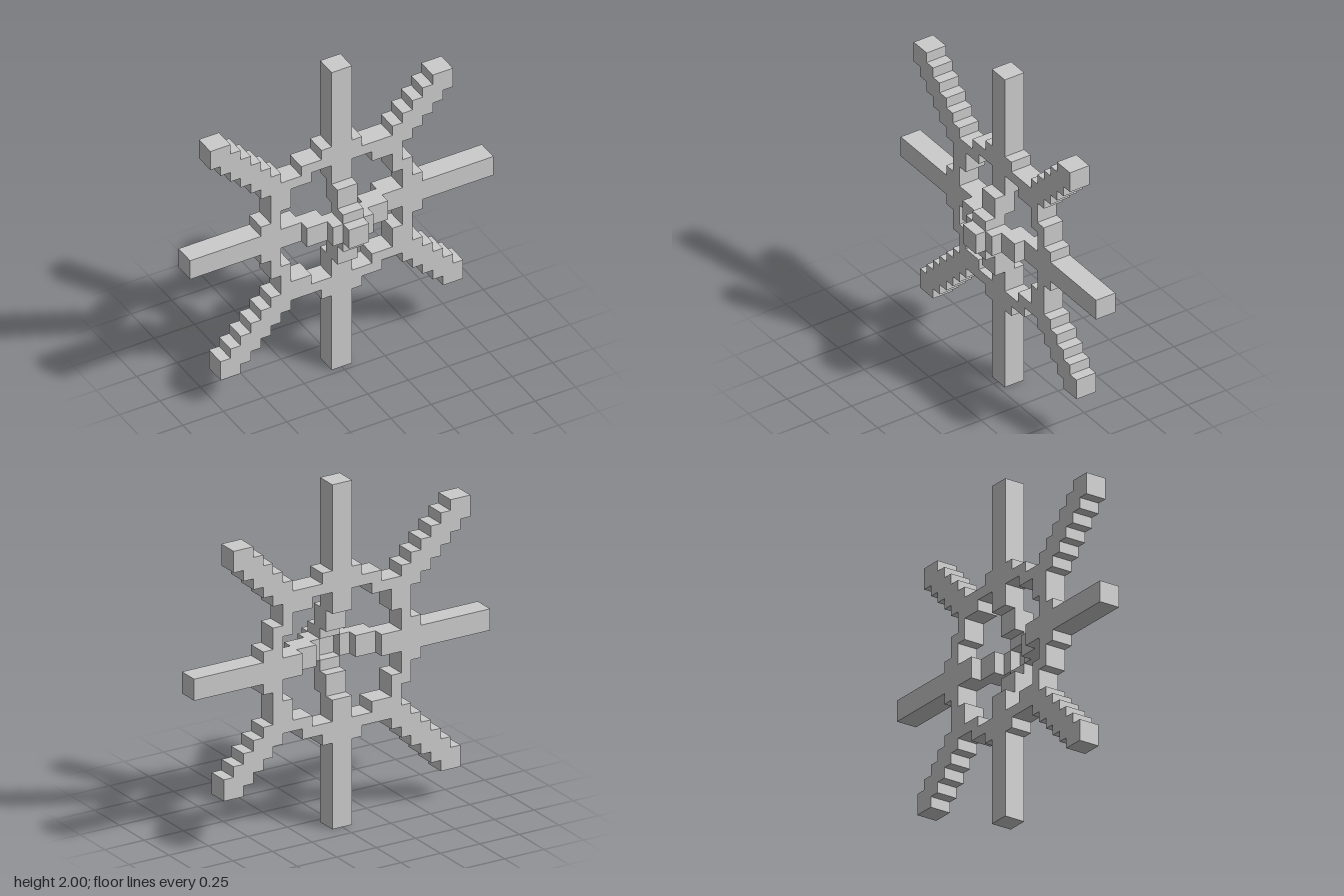
import * as THREE from 'three';

const U = 1 / 16; // one block

// Turn a point clockwise by q quarter turns
function turn([x, y], q) {
  for (let i = 0; i < q; i++) [x, y] = [y, -x];
  return new THREE.Vector2(x * U, y * U);
}

// Stepped edge of one quarter: straight arm, ring, diagonal arm, ring, next straight arm
function quarterEdge(arm, diagonal, nextArm) {
  const p = [[1, arm], [1, 8], [2, 8], [2, 7]];
  for (let i = 0; i <= diagonal; i++) p.push([5 + i, 7 + i], [5 + i, 8 + i]);
  p.push([7 + diagonal, 8 + diagonal], [7 + diagonal, 6 + diagonal]);
  for (let i = diagonal; i > 0; i--) p.push([6 + i, 6 + i], [6 + i, 5 + i]);
  p.push([6, 6], [6, 4], [7, 4], [7, 2], [8, 2], [8, 1], [nextArm, 1]);
  return p;
}

export function createModel() {
  const model = new THREE.Group();
  model.name = 'steppedStarWheel';
  const material = new THREE.MeshStandardMaterial({ color: 0xcccccc, flatShading: true });

  // Flat frame: ring with eight arms, and short stubs pointing inwards
  const arms = [16, 15, 16, 15];
  const diagonals = [4, 4, 5, 5];
  const innerEdge = [[1, 4], [1, 6], [3, 6], [3, 5], [5, 5], [5, 3], [6, 3], [6, 1], [4, 1]];
  const outer = [], inner = [];
  for (let q = 0; q < 4; q++) {
    outer.push(...quarterEdge(arms[q], diagonals[q], arms[(q + 1) % 4]).map(p => turn(p, q)));
    inner.push(...innerEdge.map(p => turn(p, q)));
  }
  // The opening runs against the outline so its walls face inwards
  const shape = new THREE.Shape(outer);
  shape.holes.push(new THREE.Path(inner.reverse()));
  const frame = new THREE.Mesh(
    new THREE.ExtrudeGeometry(shape, { depth: 2 * U, bevelEnabled: false }), material);
  frame.name = 'ringAndArms';
  frame.position.set(0, 1, -2.5 * U);
  model.add(frame);

  // Inner spokes, stepping forward towards the hub
  const steps = [{ from: 2, to: 4, z: -0.5 }, { from: 1, to: 2, z: 0.5 }];
  for (let q = 0; q < 4; q++) {
    const spoke = new THREE.Group();
    spoke.name = 'innerSpoke' + (q + 1);
    for (const { from, to, z } of steps) {
      const block = new THREE.Mesh(new THREE.BoxGeometry(2 * U, (to - from) * U, 2 * U), material);
      block.name = 'spokeStep';
      block.position.set(0, (from + to) / 2 * U, z * U);
      spoke.add(block);
    }
    spoke.position.y = 1;
    spoke.rotation.z = -q * Math.PI / 2;
    model.add(spoke);
  }

  // Hub block at the front
  const hub = new THREE.Mesh(new THREE.BoxGeometry(2 * U, 2 * U, 2 * U), material);
  hub.name = 'hub';
  hub.position.set(0, 1, 1.5 * U);
  model.add(hub);

  return model;
}
